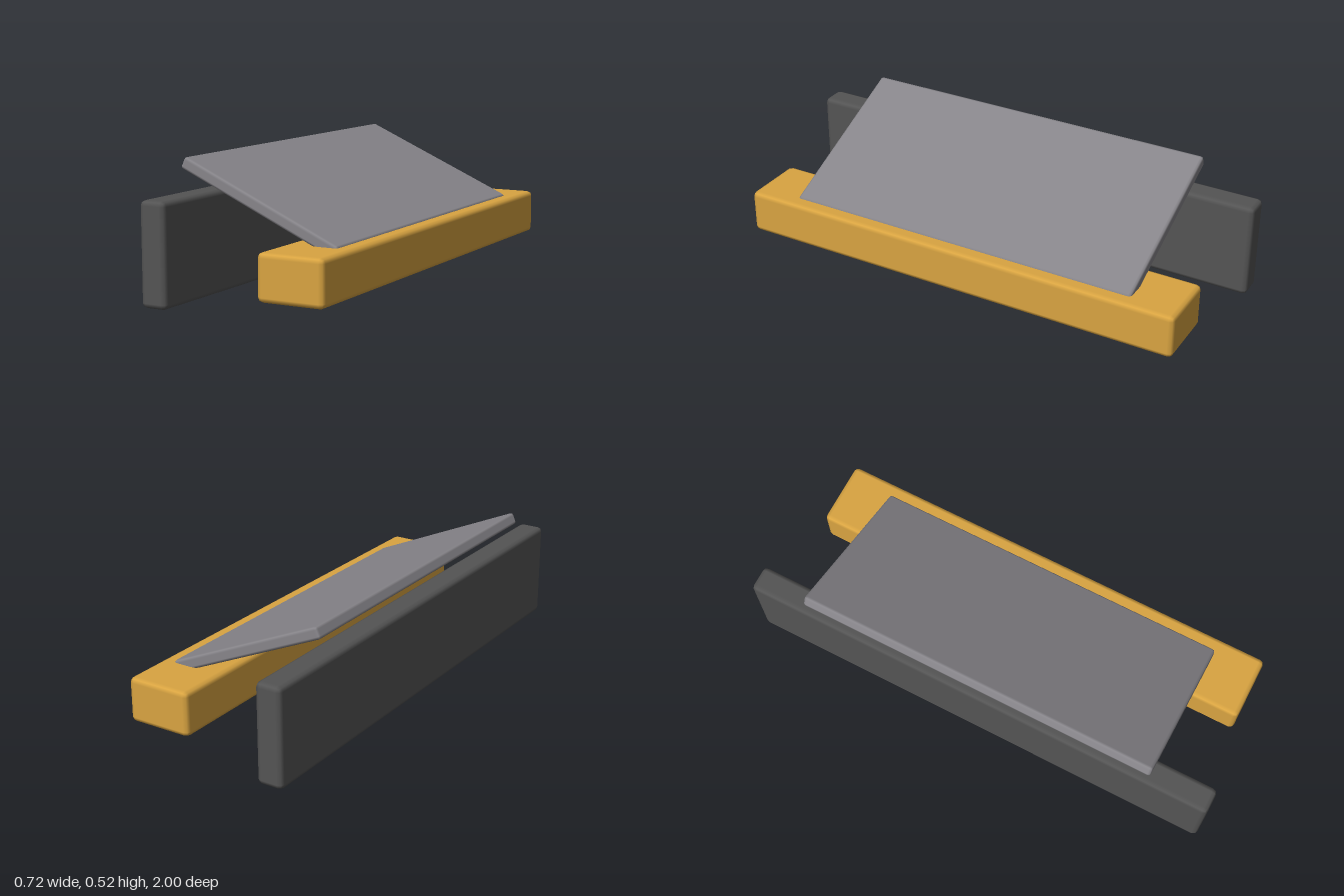
import * as THREE from 'three';
import { RoundedBoxGeometry } from 'three/addons/geometries/RoundedBoxGeometry.js';

const material = (name, color) => {
  const m = new THREE.MeshStandardMaterial({ color });
  m.name = name;
  return m;
};

// Softly bevelled box; the one-step bevel sits slightly inside its nominal size
function bevelBox(name, size, position, bevel, mat) {
  const [w, h, d] = size.map((s) => s + 0.19 * bevel);
  const mesh = new THREE.Mesh(new RoundedBoxGeometry(w, h, d, 1, bevel), mat);
  mesh.name = name;
  mesh.position.set(...position);
  return mesh;
}

export function createModel() {
  const group = new THREE.Group();
  group.name = 'rampAssembly';

  const charcoal = material('charcoal', 0x545454);
  const grey = material('grey', 0x87858a);
  const gold = material('gold', 0xd9a441);

  // Tall upright wall along the right side
  group.add(bevelBox('uprightWall', [0.104, 0.39, 2], [-0.308, 0.195, 0], 0.02, charcoal));

  // Long low beam along the left side
  group.add(bevelBox('beam', [0.265, 0.176, 1.89], [0.2275, 0.144, 0], 0.02, gold));

  // Sloping panel that rises from the beam over the wall
  const panel = bevelBox('slopingPanel', [0.708, 0.047, 1.5], [-0.023, 0.3585, 0], 0.012, grey);
  panel.rotation.z = -0.417;
  group.add(panel);

  return group;
}
